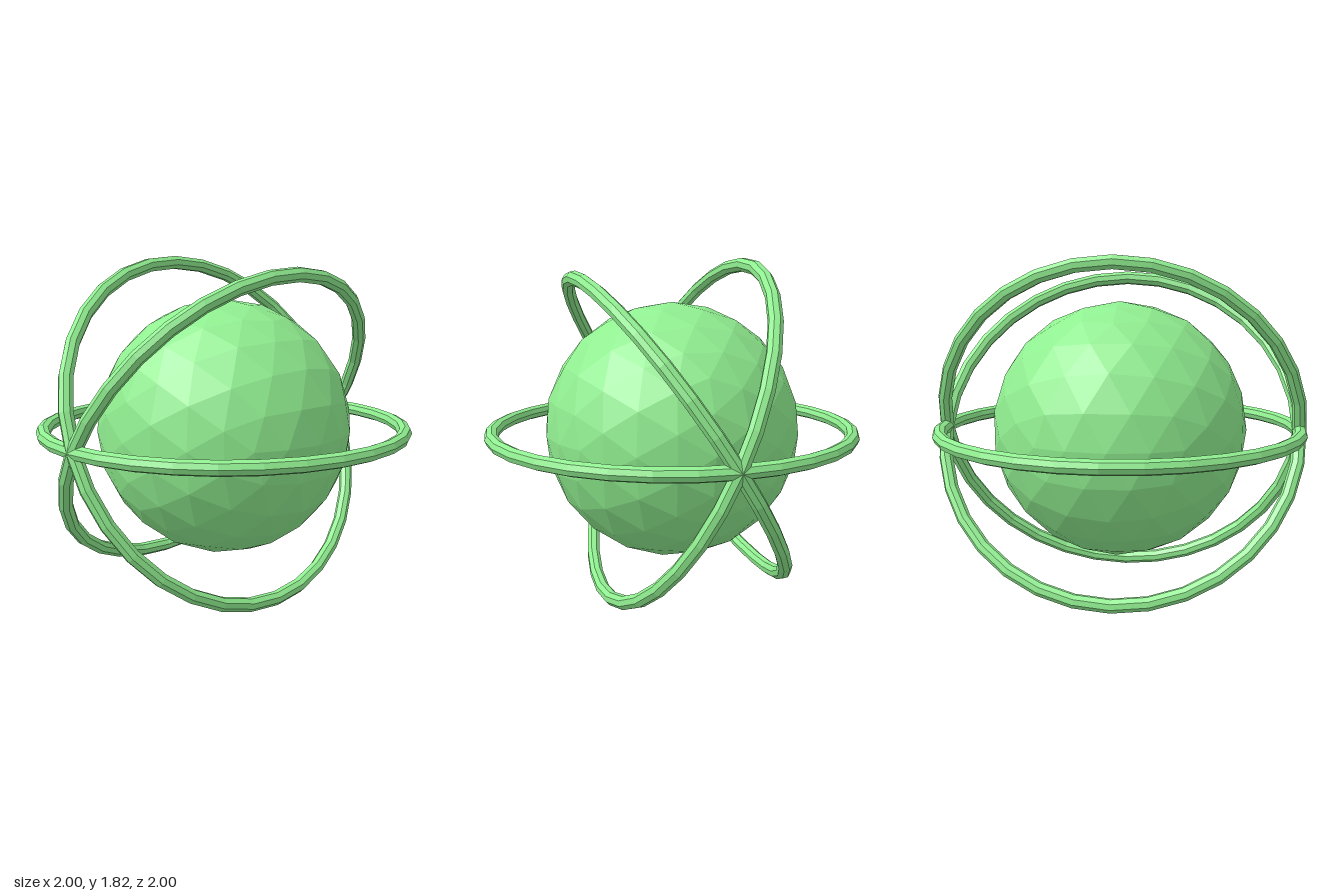
import * as THREE from 'three';

const CENTRE_Y = 0.912;
const CORE_RADIUS = 0.683;
const RING_RADIUS = 0.9627;
const TUBE_RADIUS = 0.0373;

export function createModel() {
  const model = new THREE.Group();
  model.name = 'ringedSphere';
  const material = new THREE.MeshStandardMaterial({ color: 0x90ee90, flatShading: true });

  // Faceted core
  const core = new THREE.Mesh(new THREE.IcosahedronGeometry(CORE_RADIUS, 3), material);
  core.name = 'core';
  core.position.y = CENTRE_Y;
  model.add(core);

  // Three rings sharing the z axis, each turned one radian further
  const ringGeometry = new THREE.TorusGeometry(RING_RADIUS, TUBE_RADIUS, 8, 32);
  ringGeometry.rotateX(Math.PI / 2);
  for (let i = 0; i < 3; i++) {
    const ring = new THREE.Mesh(ringGeometry, material);
    ring.name = `orbitRing${i + 1}`;
    ring.position.y = CENTRE_Y;
    ring.rotation.z = i;
    model.add(ring);
  }
  return model;
}
